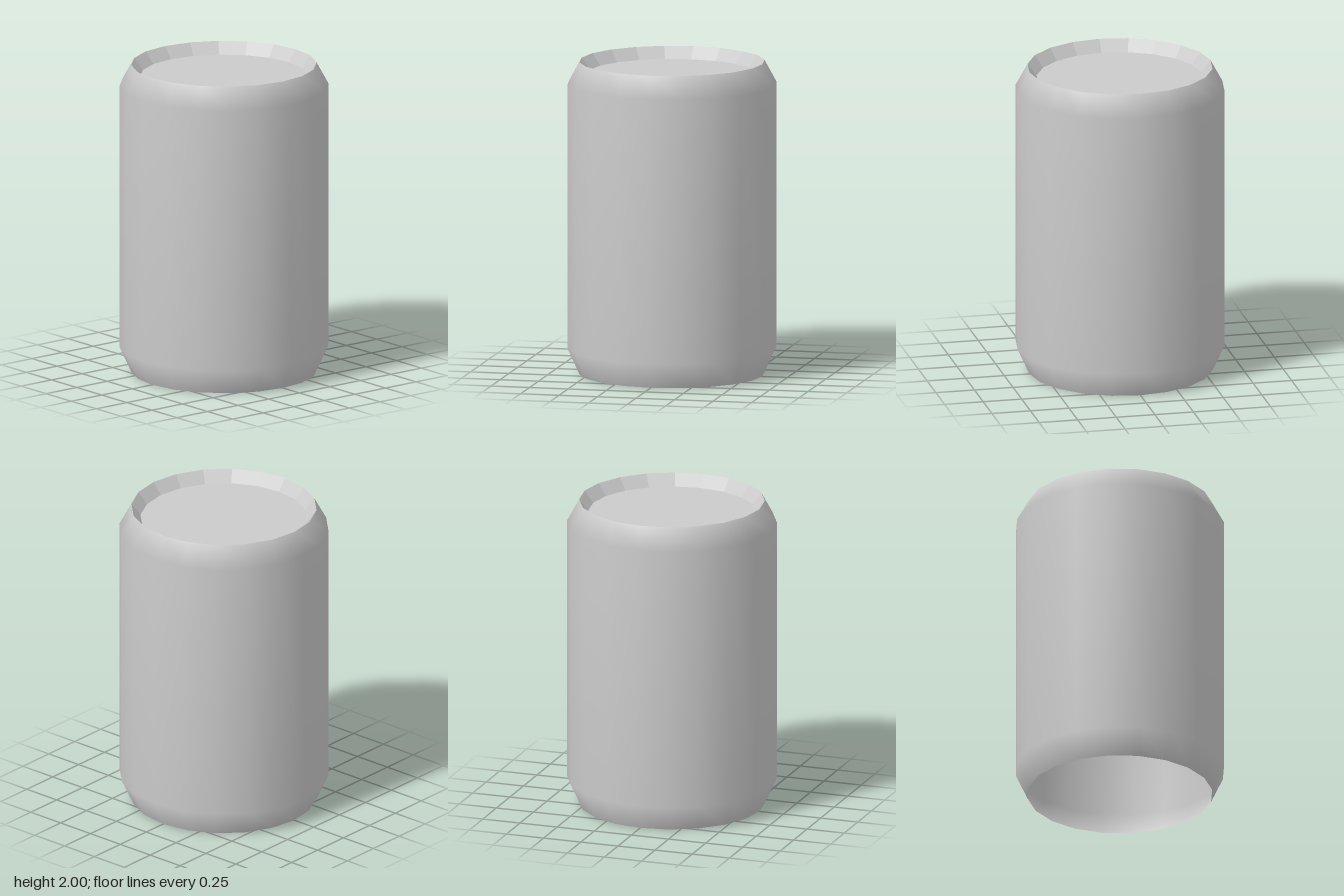
import * as THREE from 'three';

const SIDES = 20;
const RIM = 0.587, LID = 0.53, BODY = 0.663, LID_Y = 1.925;

function lathe(name, points, flatShading) {
  const geometry = new THREE.LatheGeometry(points.map(([r, y]) => new THREE.Vector2(r, y)), SIDES);
  const material = new THREE.MeshStandardMaterial({ color: 0xcccccc, flatShading, side: THREE.DoubleSide });
  const mesh = new THREE.Mesh(geometry, material);
  mesh.name = name;
  return mesh;
}

export function createModel() {
  const can = new THREE.Group();
  can.name = 'can';

  // Smooth outer shell with tapered ends, open at the bottom
  can.add(lathe('body', [[RIM, 0], [BODY, 0.165], [BODY, 1.86], [RIM, 2]], false));

  // Faceted wall sloping inward from the rim (drawn top to bottom so it faces in)
  can.add(lathe('innerRim', [[RIM, 2], [LID, LID_Y]], true));

  // Flat recessed lid
  const lid = new THREE.Mesh(
    new THREE.CircleGeometry(LID, SIDES),
    new THREE.MeshStandardMaterial({ color: 0xcccccc, side: THREE.DoubleSide })
  );
  lid.name = 'lid';
  lid.rotation.x = -Math.PI / 2;
  lid.position.y = LID_Y;
  can.add(lid);

  return can;
}
